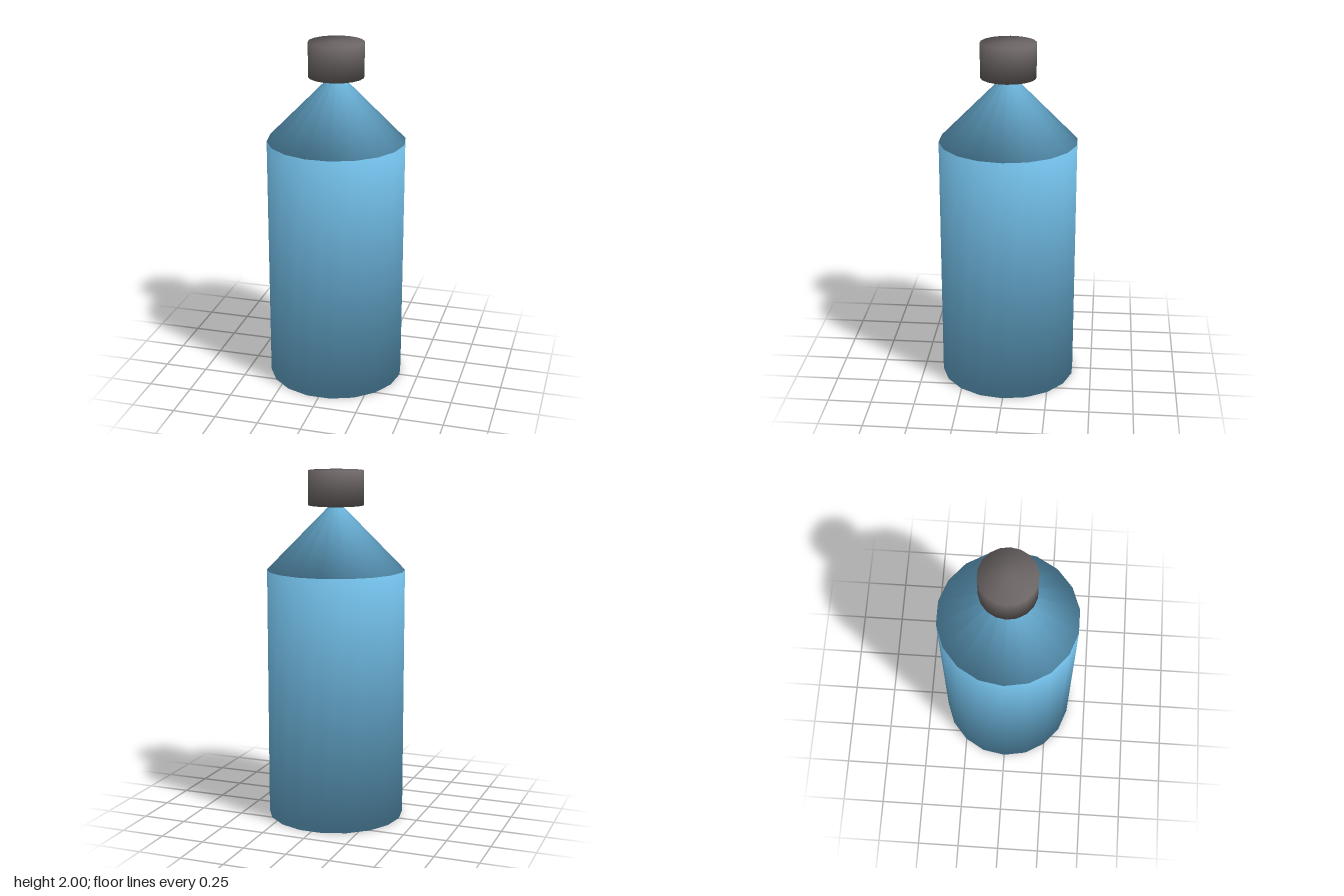
import * as THREE from 'three';

const SIDES = 18;

// Closed cylinder or cone whose rims are shaded softly: each rim normal is the
// average of the side normal and the end-cap normal.
function softCylinder(topRadius, bottomRadius, y0, y1) {
  const height = y1 - y0;
  const geo = new THREE.CylinderGeometry(topRadius, bottomRadius, height, SIDES, 1, false, Math.PI / 2);
  const pos = geo.attributes.position;
  const normals = geo.attributes.normal;
  const slope = (bottomRadius - topRadius) / height;
  const n = new THREE.Vector3();
  const axis = new THREE.Vector3();
  for (let i = 0; i < pos.count; i++) {
    const x = pos.getX(i), z = pos.getZ(i);
    const r = Math.hypot(x, z);
    if (r < 0.001) continue; // centres and tips keep their own normal
    n.set(x / r, slope, z / r).normalize();
    axis.set(0, Math.sign(pos.getY(i)), 0);
    n.add(axis).normalize();
    normals.setXYZ(i, n.x, n.y, n.z);
  }
  geo.translate(0, (y0 + y1) / 2, 0);
  return geo;
}

export function createModel() {
  const group = new THREE.Group();
  group.name = 'bottle';

  const blue = new THREE.MeshStandardMaterial({ color: 0x6db6de });
  blue.name = 'blue plastic';
  const grey = new THREE.MeshStandardMaterial({ color: 0x6b6464 });
  grey.name = 'warm grey cap';

  const add = (name, geometry, material) => {
    const mesh = new THREE.Mesh(geometry, material);
    mesh.name = name;
    group.add(mesh);
  };

  // Straight body, conical shoulder reaching into the cap, and the screw cap
  add('body', softCylinder(0.393, 0.393, 0, 1.44), blue);
  add('shoulder', softCylinder(0, 0.393, 1.44, 1.84), blue);
  add('cap', softCylinder(0.157, 0.157, 1.805, 2), grey);

  return group;
}
